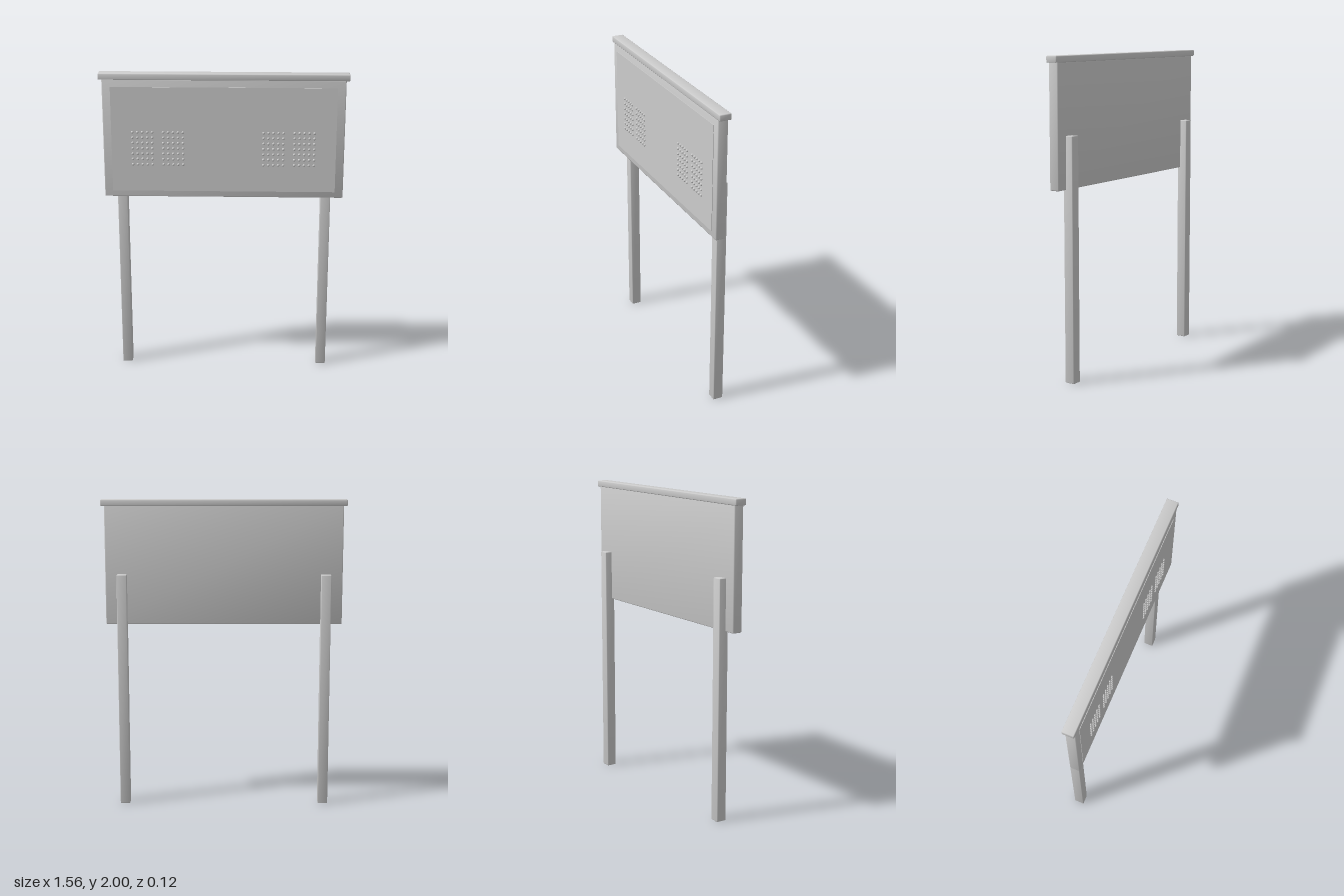
import * as THREE from 'three';
import { RoundedBoxGeometry } from 'three/addons/geometries/RoundedBoxGeometry.js';

const grey = new THREE.MeshStandardMaterial({ color: 0xcccccc });
grey.name = 'plain grey';

// Box from min to max corners with softened edges; tilt leans the normals outwards for smooth shading
function softBox(name, min, max, radius, tilt) {
  const size = max.map((v, i) => v - min[i]);
  const geometry = new RoundedBoxGeometry(...size, 1, radius);
  const p = geometry.attributes.position;
  const n = geometry.attributes.normal;
  const v = new THREE.Vector3();
  for (let i = 0; i < p.count; i++) {
    v.fromBufferAttribute(n, i);
    v.x += tilt * Math.sign(p.getX(i));
    v.y += tilt * Math.sign(p.getY(i));
    v.z += tilt * Math.sign(p.getZ(i));
    v.normalize();
    n.setXYZ(i, v.x, v.y, v.z);
  }
  const mesh = new THREE.Mesh(geometry, grey);
  mesh.name = name;
  mesh.position.set(...max.map((m, i) => (m + min[i]) / 2));
  return mesh;
}

export function createModel() {
  const model = new THREE.Group();
  model.name = 'noticeBoard';

  // Board and the cap rail along its top
  model.add(softBox('board', [-0.76, 1.2, -0.016], [0.76, 1.965, 0.049], 0.006, 0.2));
  model.add(softBox('capRail', [-0.782, 1.96, -0.024], [0.782, 2, 0.051], 0.005, 0.2));

  // Flat display panel on the front
  const panel = new THREE.Mesh(new THREE.BoxGeometry(1.416, 0.676, 0.008), grey);
  panel.name = 'displayPanel';
  panel.position.set(0, 1.578, 0.048);
  model.add(panel);

  // Two posts behind the board
  for (const [side, name] of [[1, 'leftPost'], [-1, 'rightPost']]) {
    const post = softBox(name, [-0.032, 0, -0.062], [0.032, 1.525, 0.003], 0.004, 0.2);
    post.position.x = side * 0.653;
    model.add(post);
  }

  // Four blocks of round pins, five across and seven down
  const pinGeometry = new THREE.SphereGeometry(0.0085, 10, 8);
  for (const startX of [-0.575, -0.381, 0.251, 0.446]) {
    const block = new THREE.Group();
    block.name = 'pinBlock';
    for (let row = 0; row < 7; row++) {
      for (let col = 0; col < 5; col++) {
        const pin = new THREE.Mesh(pinGeometry, grey);
        pin.name = 'pin';
        pin.position.set(startX + col * 0.0312, 1.417 + row * 0.035, 0.0535);
        block.add(pin);
      }
    }
    model.add(block);
  }
  return model;
}
